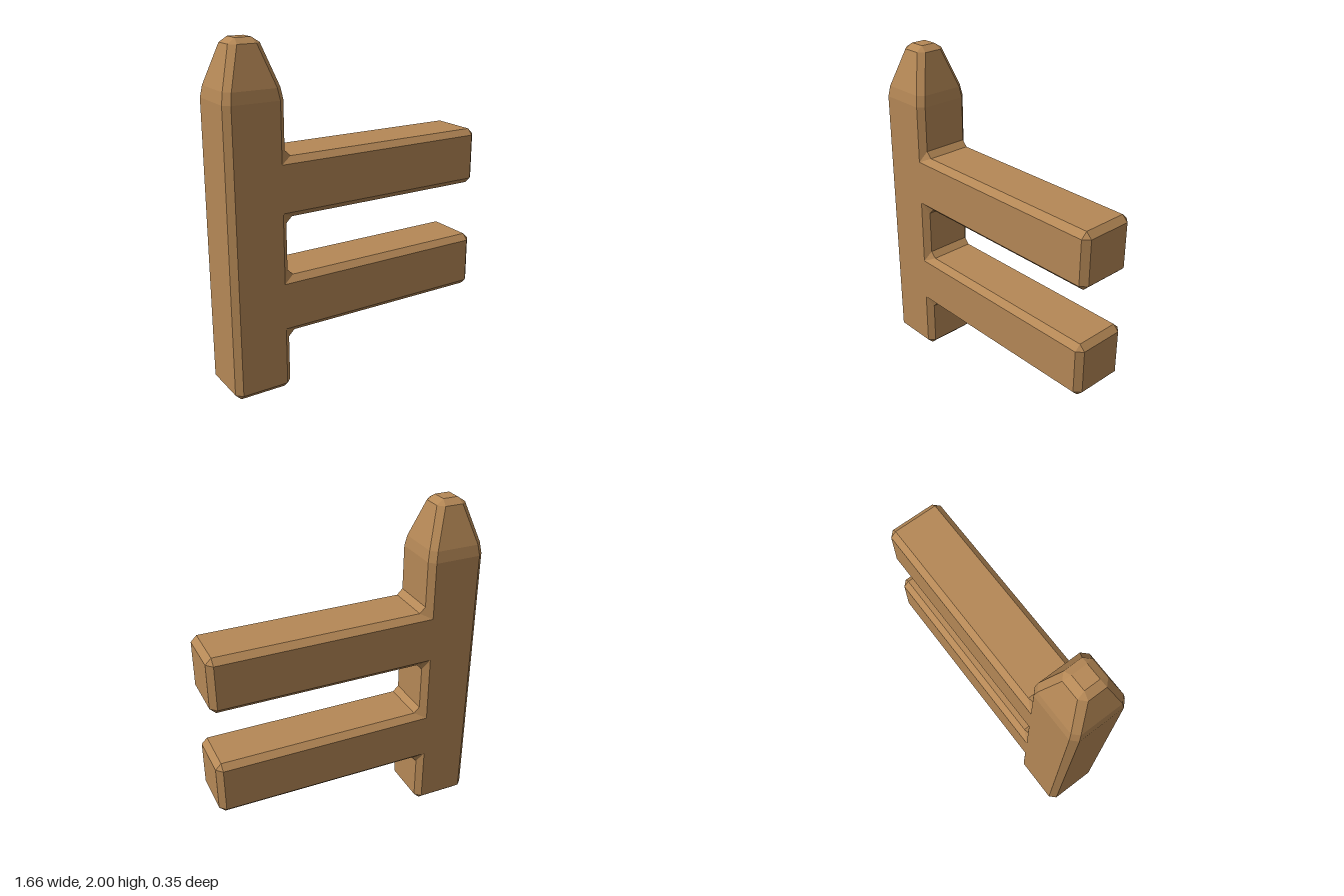
import * as THREE from 'three';
import { ConvexGeometry } from 'three/addons/geometries/ConvexGeometry.js';

const HALF = 0.174, BEVEL = 0.035, FLAT = HALF - BEVEL;
const POST_X = -0.654;

// Square bar with chamfered corners, lofted up y.
// Each section is [y, half width, half width of the flat face].
function chamferedBar(sections, capStart) {
  const rings = sections.map(([y, o, i]) =>
    [[o, i], [o, -i], [i, -o], [-i, -o], [-o, -i], [-o, i], [-i, o], [i, o]]
      .map(([x, z]) => new THREE.Vector3(x, y, z)));
  const pos = [];
  const tri = (a, b, c) => {
    if (a.equals(b) || b.equals(c) || a.equals(c)) return;
    for (const p of [a, b, c]) pos.push(p.x, p.y, p.z);
  };
  for (let r = 0; r + 1 < rings.length; r++) {
    const a = rings[r], b = rings[r + 1];
    for (let k = 0; k < 8; k++) {
      const n = (k + 1) % 8;
      tri(a[k], a[n], b[n]);
      tri(a[k], b[n], b[k]);
    }
  }
  const first = rings[0], last = rings[rings.length - 1];
  for (let k = 1; k < 7; k++) {
    tri(last[0], last[k], last[k + 1]);
    if (capStart) tri(first[0], first[k + 1], first[k]);
  }
  const geo = new THREE.BufferGeometry();
  geo.setAttribute('position', new THREE.Float32BufferAttribute(pos, 3));
  geo.computeVertexNormals();
  return geo;
}

export function createModel() {
  const group = new THREE.Group();
  const wood = new THREE.MeshStandardMaterial({ color: 0xb58856, flatShading: true });
  const add = (name, geo, parent = group) => {
    const mesh = new THREE.Mesh(geo, wood);
    mesh.name = name;
    parent.add(mesh);
    return mesh;
  };

  // Upright post with a tapered, blunt tip
  const post = add('post', chamferedBar([
    [0, FLAT, FLAT],
    [BEVEL, HALF, FLAT],
    [1.68, HALF, FLAT],
    [1.745, 0.163, 0.129],
    [1.97, 0.09, 0.055],
    [2, 0.046, 0.046],
  ], true));
  post.position.x = POST_X;

  // Two rails running to the left, each with small angled fillets at the post
  const face = POST_X + HALF;
  const start = face - BEVEL;
  for (const [name, y] of [['lowerRail', 0.515], ['upperRail', 1.2]]) {
    const rail = new THREE.Group();
    rail.name = name;
    rail.position.y = y;
    group.add(rail);

    add(name + 'Beam', chamferedBar([
      [start, 0.171, 0.171 - BEVEL],
      [0.828 - BEVEL, 0.171, 0.171 - BEVEL],
      [0.828, 0.171 - BEVEL, 0.171 - BEVEL],
    ], false).rotateZ(-Math.PI / 2).scale(1, 1, HALF / 0.171), rail);

    for (const s of [1, -1]) {
      const points = [];
      for (const z of [1, -1]) {
        points.push(
          new THREE.Vector3(face + BEVEL, s * 0.171, z * FLAT),
          new THREE.Vector3(face, s * (0.171 + BEVEL), z * FLAT),
          new THREE.Vector3(start, s * (0.171 - BEVEL), z * HALF));
      }
      add(name + (s > 0 ? 'TopFillet' : 'BottomFillet'), new ConvexGeometry(points), rail);
    }
  }
  return group;
}
